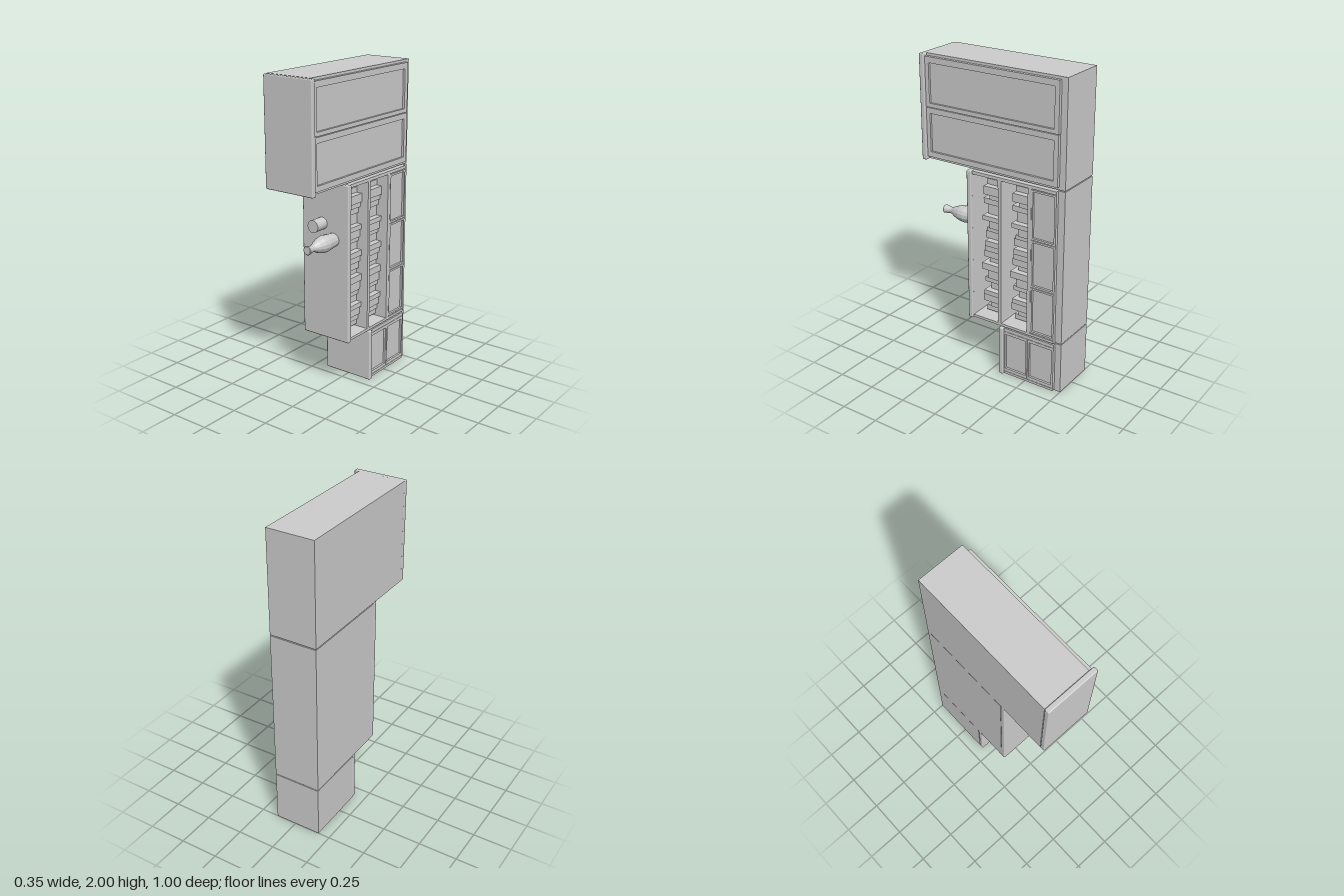
import * as THREE from 'three';
import { RoundedBoxGeometry } from 'three/addons/geometries/RoundedBoxGeometry.js';

const grey = new THREE.MeshStandardMaterial({ color: 0xcccccc });
grey.name = 'plain grey';

const BACK = -0.173, CARCASS = 0.137, FACE = 0.158, TOP = 0.172;

function add(parent, name, geometry) {
  const m = new THREE.Mesh(geometry, grey);
  m.name = name;
  parent.add(m);
  return m;
}

// Box given by its limits on each axis; r rounds the edges
function box(parent, name, [x0, x1], [y0, y1], [z0, z1], r = 0) {
  const s = [x1 - x0, y1 - y0, z1 - z0];
  const g = r ? new RoundedBoxGeometry(...s, 2, r) : new THREE.BoxGeometry(...s);
  add(parent, name, g).position.set((x0 + x1) / 2, (y0 + y1) / 2, (z0 + z1) / 2);
}

// Flat frame facing +x with rectangular openings; each rectangle is [y0, y1, z0, z1]
function frame(parent, name, outer, holes, x0, x1) {
  const corners = ([y0, y1, z0, z1]) => [[-z1, y0], [-z0, y0], [-z0, y1], [-z1, y1]]
    .map(p => new THREE.Vector2(...p));
  const shape = new THREE.Shape(corners(outer));
  shape.holes = holes.map(h => new THREE.Path(corners(h).reverse()));
  const g = new THREE.ExtrudeGeometry(shape, { depth: x1 - x0, bevelEnabled: false });
  g.rotateY(Math.PI / 2);
  add(parent, name, g).position.x = x0;
}

// Framed door or drawer front with a sunken panel
function panelFront(parent, name, outer, inner) {
  frame(parent, name + 'Frame', outer, [inner], CARCASS, FACE);
  const [y0, y1, z0, z1] = inner;
  box(parent, name + 'Panel', [CARCASS - 0.01, CARCASS + 0.007], [y0, y1], [z0, z1]);
}

function group(parent, name) {
  const g = new THREE.Group();
  g.name = name;
  parent.add(g);
  return g;
}

// Books as [lower y, thickness, height along z]
const BOOKS = [
  [0.375, 0.037, 0.14], [0.412, 0.037, 0.105], [0.449, 0.05, 0.15], [0.502, 0.032, 0.137],
  [0.535, 0.046, 0.11], [0.582, 0.033, 0.145], [0.615, 0.058, 0.117], [0.676, 0.045, 0.153],
  [0.721, 0.032, 0.117], [0.753, 0.048, 0.15], [0.801, 0.04, 0.137], [0.841, 0.038, 0.127],
  [0.88, 0.05, 0.148], [0.932, 0.028, 0.13], [0.96, 0.052, 0.105], [1.013, 0.032, 0.145],
  [1.045, 0.068, 0.127], [1.113, 0.038, 0.153], [1.151, 0.033, 0.1], [1.184, 0.056, 0.137],
  [1.24, 0.037, 0.137],
];

export function createModel() {
  const root = new THREE.Group();
  root.name = 'sideboard';

  // Large cupboard with two doors
  const big = group(root, 'largeCupboard');
  box(big, 'carcass', [BACK, CARCASS], [1.343, 2], [-0.5, 0.468]);
  box(big, 'counter', [BACK, TOP], [1.34, 2], [0.468, 0.5], 0.007);
  for (const [y0, y1, p0, p1] of [[1.362, 1.673, 1.396, 1.638], [1.677, 1.984, 1.702, 1.947]])
    panelFront(big, 'door', [y0, y1, -0.46, 0.466], [p0, p1, -0.43, 0.44]);

  // Bookcase with two shelves above three drawers
  const mid = group(root, 'bookcase');
  const Y = [0.343, 1.337];
  box(mid, 'back', [BACK, BACK + 0.02], Y, [-0.5, 0.136]);
  box(mid, 'base', [BACK + 0.02, CARCASS], Y, [-0.5, -0.29]);
  box(mid, 'endPanel', [BACK + 0.02, CARCASS], [0.343, 0.36], [-0.29, 0.136]);
  box(mid, 'endPanel', [BACK + 0.02, CARCASS], [1.32, 1.337], [-0.29, 0.136]);
  box(mid, 'counter', [BACK, TOP], [0.34, 1.34], [0.135, 0.167], 0.007);
  box(mid, 'shelf', [BACK + 0.02, FACE], [0.36, 1.317], [-0.074, -0.052]);
  box(mid, 'shelf', [BACK + 0.02, FACE], [0.36, 1.317], [-0.287, -0.262]);
  frame(mid, 'faceFrame', [0.343, 1.337, -0.455, 0.135],
    [[0.36, 1.317, -0.451, 0.1349]], CARCASS, FACE);
  for (const [y0, y1] of [[0.365, 0.678], [0.682, 0.991], [0.995, 1.312]])
    panelFront(mid, 'drawer', [y0, y1, -0.451, -0.288], [y0 + 0.012, y1 - 0.012, -0.443, -0.297]);

  // Two rows of books
  for (const z of [-0.052, -0.262]) {
    const row = group(mid, 'bookRow');
    BOOKS.forEach(([y, t, h], i) =>
      box(row, 'book', [-0.12, 0.075 + 0.012 * (i * 5 % 4)], [y, y + t - 0.002], [z, z + h]));
  }

  // Small cupboard with two drawers
  const small = group(root, 'smallCupboard');
  box(small, 'carcass', [BACK, CARCASS], [0, 0.337], [-0.5, -0.094]);
  box(small, 'counter', [BACK, TOP], [0, 0.337], [-0.094, -0.063], 0.007);
  frame(small, 'faceFrame', [0.004, 0.335, -0.458, -0.094],
    [[0.02, 0.313, -0.454, -0.0941]], CARCASS, FACE);
  for (const [z0, z1] of [[-0.454, -0.272], [-0.268, -0.095]])
    panelFront(small, 'drawer', [0.022, 0.311, z0, z1], [0.043, 0.291, z0 + 0.01, z1 - 0.01]);

  // Bottle and cup standing out from the bookcase counter
  const profile = [[0, 0], [0.042, 0], [0.046, 0.03], [0.053, 0.09], [0.05, 0.125], [0.036, 0.165],
    [0.021, 0.195], [0.02, 0.21], [0.028, 0.25], [0.025, 0.253], [0, 0.253]]
    .map(p => new THREE.Vector2(...p));
  const bottle = add(root, 'bottle', new THREE.LatheGeometry(profile, 14).toNonIndexed());
  bottle.geometry.computeVertexNormals();
  bottle.geometry.rotateX(Math.PI / 2);
  bottle.position.set(0.06, 0.99, 0.166);
  const cup = add(root, 'cup', new THREE.CylinderGeometry(0.039, 0.037, 0.094, 20));
  cup.geometry.rotateX(Math.PI / 2);
  cup.position.set(-0.022, 1.08, 0.213);
  return root;
}
